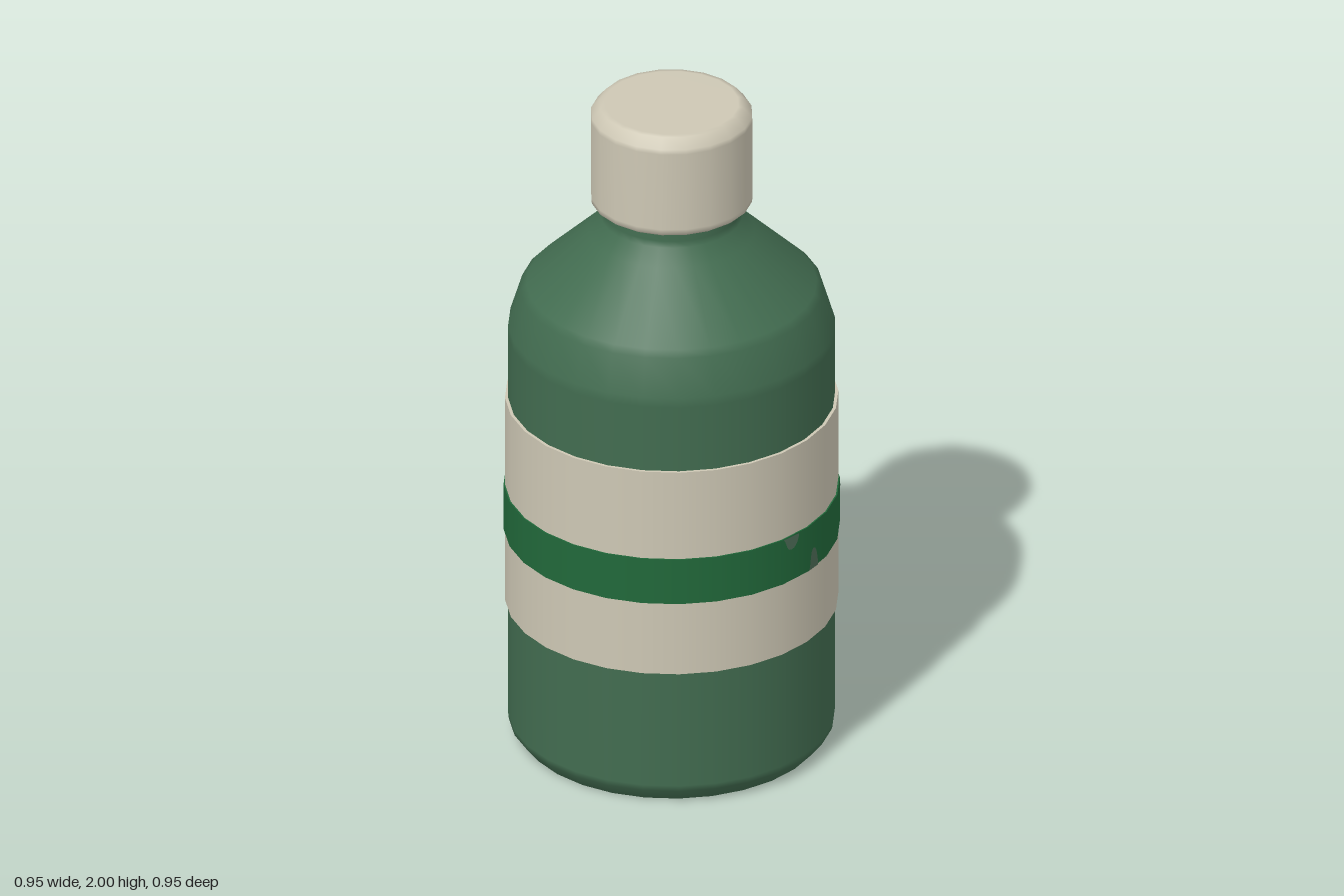
import * as THREE from 'three';

const SIDES = 28;

function material(name, color) {
  const m = new THREE.MeshStandardMaterial({ color });
  m.name = name;
  return m;
}

function lathe(points, sides) {
  return new THREE.LatheGeometry(points.map(([x, y]) => new THREE.Vector2(x, y)), sides);
}

// Thin teardrop wrapped around the bottle; angle is measured from +z towards +x
function dripGeometry(angle, y0, y1, width, down) {
  const [wide, tip] = down ? [y1, y0] : [y0, y1];
  const at = (t) => wide + (tip - wide) * t;
  const w = width / 2;
  const shape = new THREE.Shape();
  shape.moveTo(-w, wide);
  shape.lineTo(w, wide);
  shape.bezierCurveTo(w, at(0.4), w * 0.6, tip, 0, tip);
  shape.bezierCurveTo(-w * 0.7, tip, -w * 0.6, at(0.4), -w, wide);
  const geo = new THREE.ShapeGeometry(shape, 6);
  const pos = geo.attributes.position;
  for (let i = 0; i < pos.count; i++) {
    const a = angle + pos.getX(i) / 0.475;
    pos.setXYZ(i, Math.sin(a) * 0.4765, pos.getY(i), Math.cos(a) * 0.4765);
  }
  geo.computeVertexNormals();
  return geo;
}

export function createModel() {
  const group = new THREE.Group();
  const green = material('bottle green', 0x426c50);
  const cream = material('cream', 0xcdc7b4);
  const stripeGreen = material('stripe green', 0x21683a);
  const worn = material('worn green', 0x4c6b56);
  worn.side = THREE.DoubleSide;

  const add = (name, geometry, mat, y = 0) => {
    const mesh = new THREE.Mesh(geometry, mat);
    mesh.name = name;
    mesh.position.y = y;
    group.add(mesh);
  };

  // Bottle; close pairs of points keep the long walls evenly shaded
  add('bottle', lathe([
    [0, 0], [0.415, 0], [0.428, 0.002], [0.46, 0.042], [0.462, 0.06],
    [0.462, 1.27], [0.462, 1.3], [0.428, 1.41], [0.41, 1.428],
    [0.235, 1.596], [0.2, 1.642], [0.195, 1.66], [0.195, 1.72],
  ], SIDES), green);

  // Screw cap with bevelled rims
  add('cap', lathe([
    [0.185, 1.69], [0.215, 1.69], [0.229, 1.7], [0.23, 1.715],
    [0.23, 1.955], [0.229, 1.97], [0.205, 1.998], [0.19, 2], [0, 2],
  ], 20), cream);

  // Wrapped label and its centre stripe
  add('label', new THREE.CylinderGeometry(0.471, 0.471, 0.645, SIDES), cream, 0.745);
  add('labelStripe', new THREE.CylinderGeometry(0.475, 0.475, 0.142, SIDES), stripeGreen, 0.72);

  // Worn spots on the stripe: degrees, bottom, top, width, hanging down
  const drips = [
    [17, 0.75, 0.79, 0.06, true],
    [29, 0.65, 0.715, 0.045, false],
    [62, 0.745, 0.79, 0.06, true],
    [69, 0.65, 0.685, 0.035, false],
    [90, 0.7, 0.79, 0.08, true],
    [131, 0.675, 0.79, 0.13, true],
    [189, 0.755, 0.79, 0.05, true],
  ];
  for (const [deg, y0, y1, w, down] of drips) {
    add('wornSpot', dripGeometry(THREE.MathUtils.degToRad(deg), y0, y1, w, down), worn);
  }
  return group;
}
